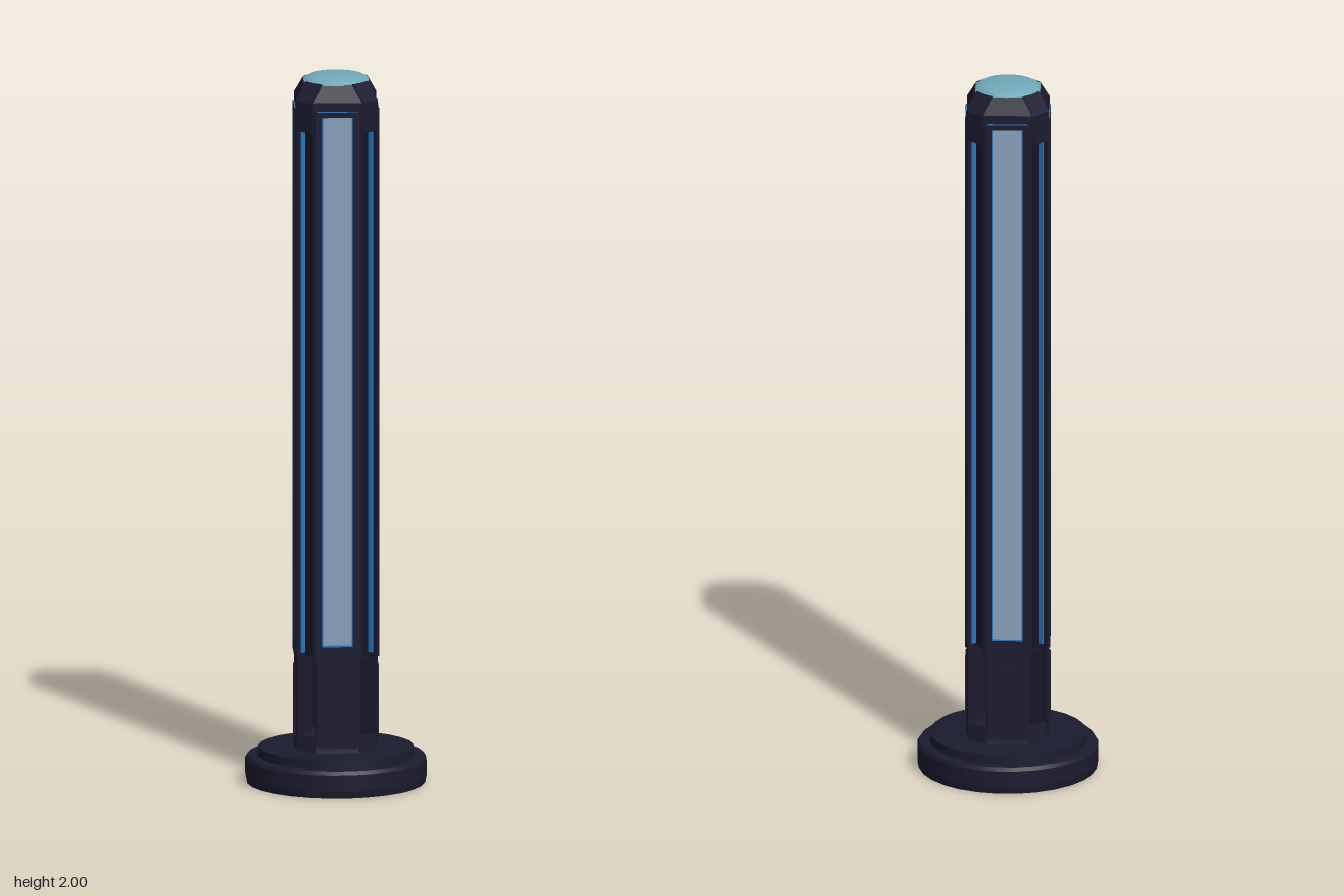
import * as THREE from 'three';
import { ConvexGeometry } from 'three/addons/geometries/ConvexGeometry.js';

const paint = (name, color) => {
  const m = new THREE.MeshStandardMaterial({ color });
  m.name = name;
  return m;
};

export function createModel() {
  const dark = paint('dark metal', 0x1b1b2f);
  const shade = paint('recess metal', 0x151525);
  const blue = paint('blue trim', 0x2a78c0);
  const glass = paint('light panel', 0x88a2bc);
  const teal = paint('teal lamp', 0x70a8b8);

  const model = new THREE.Group();
  model.name = 'lightColumn';

  const add = (parent, name, geometry, material, x = 0, y = 0, z = 0) => {
    const mesh = new THREE.Mesh(geometry, material);
    mesh.name = name;
    mesh.position.set(x, y, z);
    parent.add(mesh);
    return mesh;
  };
  // Box given by its vertical extent
  const box = (parent, name, mat, w, y0, y1, d, x, z) =>
    add(parent, name, new THREE.BoxGeometry(w, y1 - y0, d), mat, x, (y0 + y1) / 2, z);
  const disc = (name, r0, r1, y0, y1) =>
    add(model, name, new THREE.CylinderGeometry(r1, r0, y1 - y0, 28), dark, 0, (y0 + y1) / 2, 0);
  // Convex solid from [x, y, z] points mirrored in x
  const hull = (parent, name, mat, pts) =>
    add(parent, name, new ConvexGeometry(pts.flatMap(([x, y, z]) =>
      [new THREE.Vector3(x, y, z), new THREE.Vector3(-x, y, z)])), mat);
  // Octagon ring: flats at distance r, each with half width w
  const octagon = (r, w, y) => [[w, y, r], [w, y, -r], [r, y, w], [r, y, -w]];

  // Round base and foot ring
  disc('baseLower', 0.248, 0.252, 0, 0.02);
  disc('baseRim', 0.252, 0.252, 0.02, 0.065);
  disc('baseBevel', 0.252, 0.246, 0.065, 0.075);
  disc('baseStep', 0.218, 0.217, 0.075, 0.1);
  hull(model, 'footRing', dark, [...octagon(0.124, 0.04, 0.1), ...octagon(0.116, 0.038, 0.145)]);

  // Column with grooves on the four sides and shallow recesses on the diagonals
  const diag = (d, t) => [(d - t) / Math.SQRT2, (d + t) / Math.SQRT2];
  const quarter = [
    [0.098, -0.03], [0.098, 0.03], [0.127, 0.03], [0.127, 0.04],
    diag(0.118, -0.043), diag(0.109, -0.043), diag(0.109, 0.043), diag(0.118, 0.043),
    [0.04, 0.127], [0.03, 0.127],
  ];
  const outline = [];
  for (let i = 0; i < 4; i++) {
    const c = [1, 0, -1, 0][i], s = [0, 1, 0, -1][i];
    for (const [x, y] of quarter) outline.push(new THREE.Vector2(c * x - s * y, s * x + c * y));
  }
  const column = new THREE.ExtrudeGeometry(new THREE.Shape(outline), { depth: 1.545, bevelEnabled: false });
  column.rotateX(-Math.PI / 2);
  add(model, 'column', column, dark, 0, 0.365, 0);

  for (let i = 0; i < 4; i++) {
    // Diagonal units: light panel above a leg
    const corner = new THREE.Group();
    corner.name = 'cornerUnit';
    corner.rotation.y = Math.PI / 4 + i * Math.PI / 2;
    model.add(corner);
    box(corner, 'panelTrim', blue, 0.084, 0.398, 1.9, 0.003, 0, 0.1105);
    box(corner, 'lightPanel', glass, 0.078, 0.405, 1.895, 0.004, 0, 0.1125);
    box(corner, 'panelSill', dark, 0.086, 0.365, 0.4, 0.009, 0, 0.1132);
    box(corner, 'panelHead', dark, 0.086, 1.895, 1.91, 0.009, 0, 0.1132);
    box(corner, 'headTrim', blue, 0.11, 1.908, 1.912, 0.003, 0, 0.1155);
    hull(corner, 'leg', dark, [0.1, 0.365].flatMap(y =>
      [[0.062, y, 0.11], [0.054, y, 0.114], [0.018, y, 0.067]]));
    hull(corner, 'legPlate', dark, [0.11, 0.118].flatMap(z =>
      [[0.038, 0.135, z], [0.026, 0.33, z]]));

    // Side units: groove details and cap block
    const side = new THREE.Group();
    side.name = 'sideUnit';
    side.rotation.y = i * Math.PI / 2;
    model.add(side);
    box(side, 'grooveRib', shade, 0.026, 0.37, 1.86, 0.014, 0, 0.104);
    for (const s of [-1, 1]) {
      box(side, 'grooveTrim', blue, 0.005, 0.375, 1.85, 0.016, s * 0.0265, 0.106);
    }
    hull(side, 'capBlock', dark, [
      [0.032, 1.85, 0.095], [0.032, 1.85, 0.13], [0.032, 1.935, 0.13],
      [0.032, 1.984, 0.094], [0.032, 1.984, 0.085],
    ]);
    // Closing plates between the legs on front and back
    if (i % 2 === 0) box(side, 'legCover', shade, 0.075, 0.14, 0.357, 0.03, 0, 0.09);

    // Small rod on the front right leg
    if (i === 3) {
      const rod = new THREE.CylinderGeometry(0.004, 0.004, 0.075, 8);
      rod.rotateX(Math.PI / 2);
      add(corner, 'rod', rod, dark, -0.021, 0.333, 0.14);
    }
  }

  // Chamfered cap, set back on the diagonals, and domed lamp
  hull(model, 'cap', dark, [
    ...octagon(0.127, 0.031, 1.9), ...octagon(0.127, 0.031, 1.935), ...octagon(0.094, 0.036, 1.981),
  ]);
  hull(model, 'lampRim', teal, [...octagon(0.092, 0.038, 1.976), ...octagon(0.09, 0.037, 1.984)]);
  const dome = [[0.093, 1.978], [0.091, 1.986], [0.075, 1.994], [0.045, 1.999], [0, 2]];
  add(model, 'lampDome', new THREE.LatheGeometry(dome.map(p => new THREE.Vector2(...p)), 24), teal);

  return model;
}
